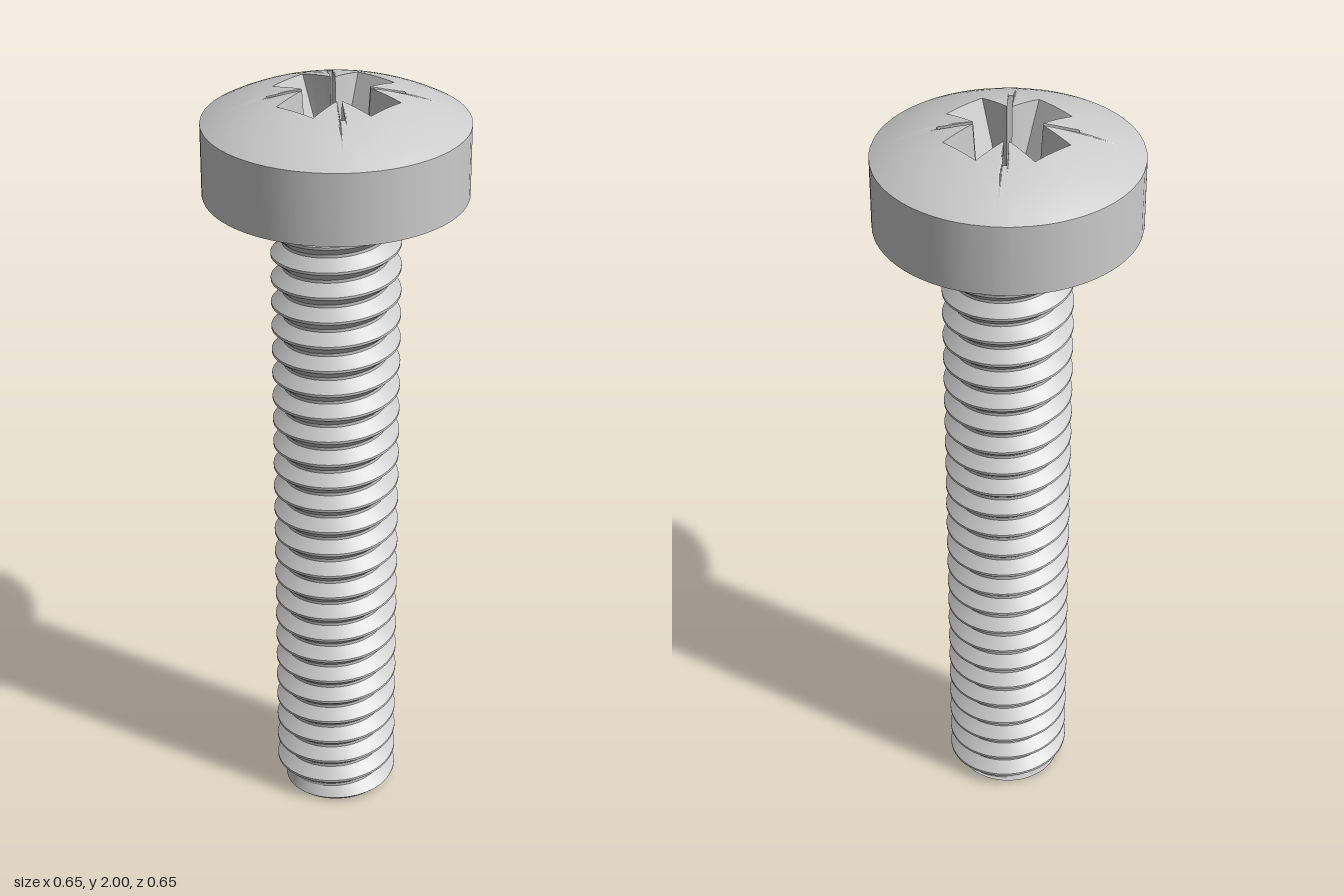
import * as THREE from 'three';
import { toCreasedNormals } from 'three/addons/utils/BufferGeometryUtils.js';

const material = new THREE.MeshStandardMaterial({ color: 0xcccccc });

// Skins a list of equally long rings of [x, y, z] points
function loft(rings, crease, closed = true) {
  const n = rings[0].length;
  const index = [];
  for (let r = 0; r < rings.length - 1; r++) {
    for (let i = 0; i < (closed ? n : n - 1); i++) {
      const j = (i + 1) % n;
      const a = r * n + i, a2 = r * n + j, b = a + n, b2 = a2 + n;
      index.push(a, a2, b, b, a2, b2);
    }
  }
  const geometry = new THREE.BufferGeometry();
  geometry.setAttribute('position', new THREE.Float32BufferAttribute(rings.flat(2), 3));
  geometry.setIndex(index);
  return toCreasedNormals(geometry, crease);
}

function addMesh(group, name, geometry) {
  const mesh = new THREE.Mesh(geometry, material);
  mesh.name = name;
  group.add(mesh);
}

// Cross outline with a thin diagonal slit in each inner corner, as [x, z] points
function crossOutline(armEnd, armHalf, slitStart, slitEnd) {
  const s = Math.SQRT1_2, w = 0.0055;
  const diagonal = (d, side) => [(d + side * w) * s, (d - side * w) * s];
  const quadrant = [
    [armEnd, -armHalf], [armEnd, armHalf],
    diagonal(slitStart, 1), diagonal(slitEnd, 1), diagonal(slitEnd, -1), diagonal(slitStart, -1),
  ];
  const steps = [8, 4, 1, 1, 1, 4];
  const corners = [];
  for (let q = 0; q < 4; q++) {
    for (const [x, z] of quadrant) {
      corners.push([[x, z], [-z, x], [-x, -z], [z, -x]][q]);
    }
  }
  const points = [];
  corners.forEach(([x, z], i) => {
    const [x2, z2] = corners[(i + 1) % corners.length];
    const count = steps[i % 6];
    for (let k = 0; k < count; k++) {
      points.push([x + (x2 - x) * k / count, z + (z2 - z) * k / count]);
    }
  });
  return points;
}

// Head: drive recess, dome, side wall and underside in one skin
function headGeometry() {
  const radius = 0.324, rimY = 1.92, apexY = 2.005, baseY = 1.74, floorY = 1.83;
  const h = apexY - rimY;
  const sphere = (radius * radius + h * h) / (2 * h);
  const domeY = r => apexY - sphere + Math.sqrt(sphere * sphere - r * r);

  const bottom = crossOutline(0.083, 0.041, 0.071, 0.152);
  const top = crossOutline(0.151, 0.056, 0.081, 0.165);
  const circle = (outline, r, y) => outline.map(([x, z]) => {
    const l = Math.hypot(x, z);
    return [x / l * r, y, z / l * r];
  });

  const rings = [
    circle(bottom, 0.0001, floorY - 0.025),
    circle(bottom, 0.069, floorY),
    bottom.map(([x, z]) => [x, floorY, z]),
  ];
  const domeSteps = 8;
  for (let k = 0; k <= domeSteps; k++) {
    rings.push(top.map(([x, z]) => {
      const l = Math.hypot(x, z);
      const r = l + (radius - l) * k / domeSteps;
      return [x / l * r, domeY(r), z / l * r];
    }));
  }
  rings.push(circle(top, radius, baseY), circle(top, 0.1, baseY));
  return loft(rings, 0.3);
}

// Right-handed helical thread, with the lower end chamfered and trimmed flat
function threadGeometry() {
  const pitch = 0.066, length = 1.75, root = 0.132, crest = 0.161, sides = 64;
  const profile = [[0, root], [0.12, root], [0.51, crest], [0.61, crest]];
  const rings = [];
  for (let turn = Math.ceil(length / pitch) + 1; turn >= -2; turn--) {
    for (const [t, r] of [...profile].reverse()) {
      const ring = [];
      for (let i = 0; i <= sides; i++) {
        const a = i / sides;
        const y = THREE.MathUtils.clamp((turn + t - a) * pitch, 0, length);
        const rr = Math.min(r, 0.138 + y);
        ring.push([Math.cos(a * 2 * Math.PI) * rr, y, Math.sin(a * 2 * Math.PI) * rr]);
      }
      rings.push(ring);
    }
  }
  return loft(rings, 0.4, false);
}

export function createModel() {
  const screw = new THREE.Group();
  screw.name = 'machineScrew';

  addMesh(screw, 'head', headGeometry());
  addMesh(screw, 'threadedShank', threadGeometry());

  // Flared neck under the head
  const neck = new THREE.CylinderGeometry(0.165, 0.132, 0.035, 64, 1, true);
  neck.translate(0, 1.7225, 0);
  addMesh(screw, 'neck', neck);

  // Flat tip
  const tip = new THREE.CircleGeometry(0.138, 64);
  tip.rotateX(Math.PI / 2);
  addMesh(screw, 'tip', tip);

  return screw;
}
